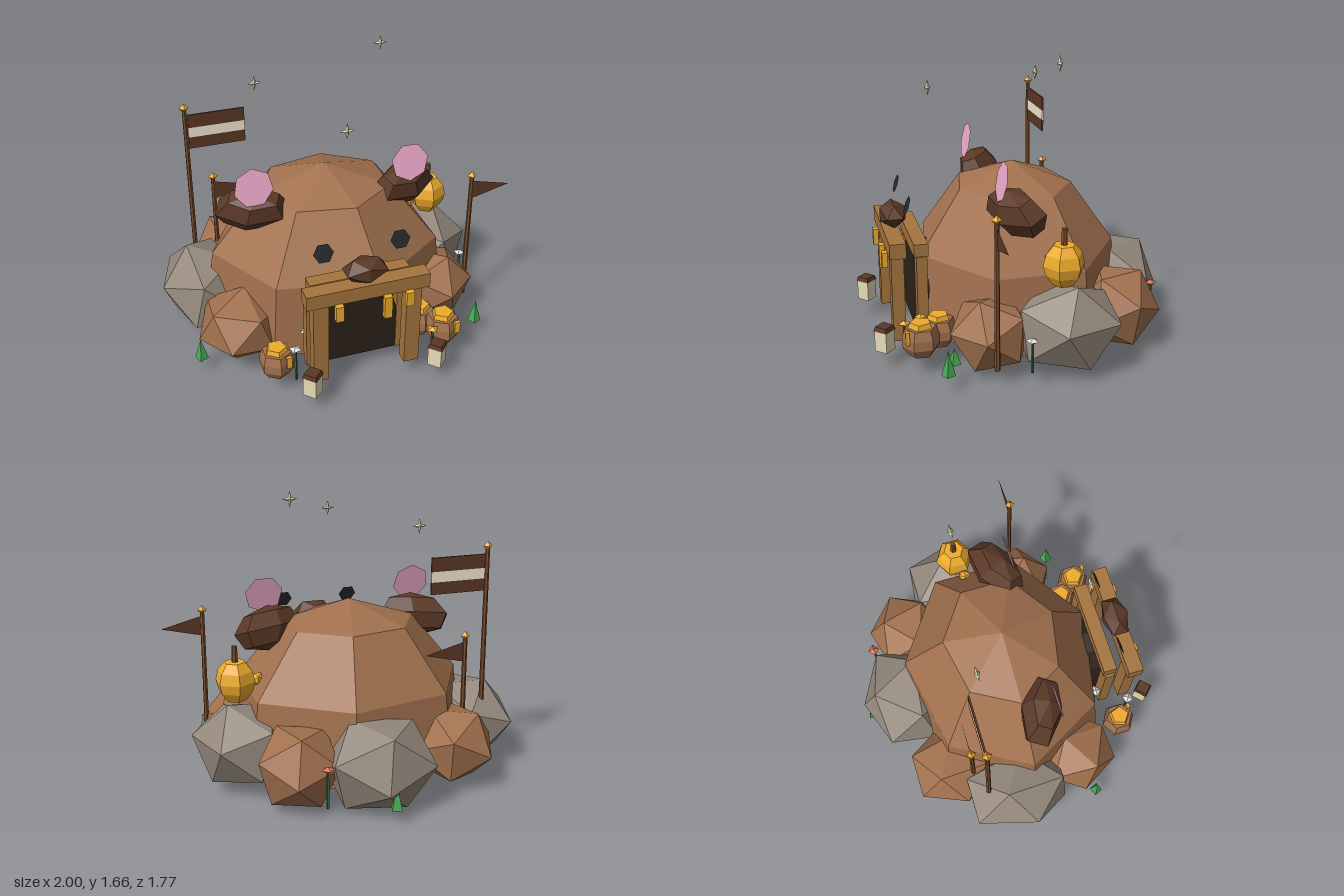
import * as THREE from 'three';

const mat = (color, side = THREE.FrontSide) =>
  new THREE.MeshStandardMaterial({ color, flatShading: true, side });

const M = {
  earth: mat(0xa2714e), grey: mat(0x94887c), wood: mat(0xa5753f), pole: mat(0x7a4c2c),
  fur: mat(0x5a3826), gold: mat(0xeeac2e), cream: mat(0xe6dcb6), stripe: mat(0xf4ead6),
  green: mat(0x48a855), stem: mat(0x2f6a3c), white: mat(0xe4e2dc), coral: mat(0xe0704c),
  dark: mat(0x2c2119), star: mat(0xd8d8b4), eye: mat(0x26282c, THREE.DoubleSide),
  pink: mat(0xeeaacb, THREE.DoubleSide), cloth: mat(0x5a3826, THREE.DoubleSide),
};
const CX = -0.035; // middle of the den

export function createModel() {
  const root = new THREE.Group();

  const add = (name, geo, material, x = 0, y = 0, z = 0, parent = root) => {
    const mesh = new THREE.Mesh(geo, material);
    mesh.name = name;
    mesh.position.set(x, y, z);
    parent.add(mesh);
    return mesh;
  };
  const box = (name, m, x0, x1, y0, y1, z0, z1) =>
    add(name, new THREE.BoxGeometry(x1 - x0, y1 - y0, z1 - z0), m, (x0 + x1) / 2, (y0 + y1) / 2, (z0 + z1) / 2);
  const group = (name, x, y, z) => {
    const g = new THREE.Group();
    g.name = name;
    g.position.set(x, y, z);
    root.add(g);
    return g;
  };
  const points = list => list.map(p => new THREE.Vector2(...p));
  // Faceted boulder, turned about y, x and z, then stretched to fill the given bounds
  const boulder = (name, m, [ry, rx, rz], [x0, x1], [y0, y1], [z0, z1], geo = new THREE.IcosahedronGeometry(1, 0)) => {
    geo.rotateY(ry).rotateX(rx).rotateZ(rz);
    geo.computeBoundingBox();
    const size = geo.boundingBox.getSize(new THREE.Vector3());
    geo.center();
    geo.scale((x1 - x0) / size.x, (y1 - y0) / size.y, (z1 - z0) / size.z);
    return add(name, geo, m, (x0 + x1) / 2, (y0 + y1) / 2, (z0 + z1) / 2);
  };

  // Den dome, open underneath, with steep lower walls
  const dome = new THREE.SphereGeometry(1, 7, 3, 0, Math.PI * 2, 0, Math.PI / 2);
  const p = dome.attributes.position;
  for (let i = 0; i < p.count; i++)
    if (p.getY(i) < 0.01) p.setXYZ(i, p.getX(i) * 0.93, 0.045, p.getZ(i) * 0.93);
  dome.scale(0.78, 0.95, 0.67);
  add('dome', dome, M.earth, CX, 0.05, 0);

  // Boulders round the base
  const Q = Math.PI / 2;
  boulder('boulderLeftSide', M.grey, [Q, 0.45, -0.3], [0.37, 0.91], [0.01, 0.5], [-0.4, 0.14]);
  boulder('boulderRightSide', M.grey, [Q, 0.35, 0.3], [-1, -0.5], [0.01, 0.48], [-0.4, 0.16]);
  boulder('boulderBack', M.grey, [-0.1, 0.3, 0.15], [-0.29, 0.29], [0, 0.48], [-0.885, -0.33]);
  boulder('boulderBackLeft', M.earth, [-0.3, 0.4, 0.2], [0.18, 0.65], [0.03, 0.44], [-0.73, -0.25]);
  boulder('boulderBackRight', M.earth, [Q, 0.2, 0.5], [-0.75, -0.25], [0.03, 0.43], [-0.68, -0.22]);
  boulder('boulderFrontLeft', M.earth, [0.2, 0.5, 0.3], [0.33, 0.78], [0.02, 0.43], [0.04, 0.5]);
  boulder('boulderFrontRight', M.earth, [Q + 0.2, 0.3, -0.3], [-0.87, -0.39], [0.02, 0.42], [0.06, 0.52]);
  // Rubble filling the underside
  boulder('rubbleMiddle', M.grey, [1.4, 0.8, 0.5], [-0.32, 0.26], [0.02, 0.4], [-0.45, 0.12]);
  boulder('rubbleFront', M.grey, [0.6, 2.7, 0.2], [-0.26, 0.19], [0.02, 0.3], [0, 0.42]);
  boulder('rubbleLeft', M.grey, [2.2, 1.3, 0.8], [0.05, 0.56], [0.03, 0.4], [-0.3, 0.42]);
  boulder('rubbleRight', M.grey, [0.3, 1.9, 1.1], [-0.63, -0.12], [0.03, 0.4], [-0.3, 0.42]);

  // Dark arched doorway
  const arch = new THREE.Shape();
  arch.moveTo(-0.225, 0.09);
  arch.lineTo(0.225, 0.09);
  for (let i = 0; i <= 6; i++) {
    const a = (i / 6) * Math.PI;
    arch.lineTo(0.225 * Math.cos(a), 0.35 + 0.22 * Math.sin(a));
  }
  add('doorway', new THREE.ExtrudeGeometry(arch, { depth: 0.12, bevelEnabled: false }), M.dark, CX, 0, 0.49);

  // Timber porch: inner and outer frames
  for (const s of [-1, 1]) {
    const x = CX + s * 0.262;
    box('outerPost', M.wood, x - 0.043, x + 0.043, 0.09, 0.59, 0.685, 0.755);
    box('innerPost', M.wood, x - 0.04, x + 0.035, 0.09, 0.57, 0.555, 0.615);
  }
  box('outerLintel', M.wood, -0.38, 0.31, 0.59, 0.675, 0.675, 0.765);
  box('innerLintel', M.wood, -0.32, 0.25, 0.565, 0.64, 0.545, 0.625);
  for (const [x, y] of [[-0.205, 0.5], [0.065, 0.46], [0.19, 0.51]])
    box('honeyDrip', M.gold, x - 0.022, x + 0.022, y, 0.595, 0.765, 0.795);

  // Bear face: nose, eyes, ears
  boulder('nose', M.fur, [0, 0, 0], [CX - 0.115, CX + 0.115], [0.67, 0.8], [0.625, 0.77]);
  for (const s of [-1, 1]) {
    const eye = add('eye', new THREE.CircleGeometry(0.056, 6), M.eye, CX + s * 0.213, 0.845, 0.645);
    eye.rotation.x = -0.33;
    const ex = CX + s * 0.455;
    const ear = boulder('ear', M.fur, [s * 0.5, 0.35, s * 0.2], [ex - 0.195, ex + 0.195], [0.725, 0.955], [-0.02, 0.21],
      new THREE.SphereGeometry(1, 6, 4));
    ear.rotation.set(0, s * 0.42, -s * 0.1);
    const inner = add('innerEar', new THREE.CircleGeometry(0.112, 7), M.pink, ex, 1.015, 0.175);
    inner.rotation.set(-0.2, 0, s * 0.2);
  }

  // Flag poles
  const flagPole = (name, x, z, top) => {
    const g = group(name, x, 0, z);
    add('pole', new THREE.CylinderGeometry(0.013, 0.015, top - 0.1, 6), M.pole, 0, (top + 0.1) / 2, 0, g);
    add('finial', new THREE.OctahedronGeometry(0.028), M.gold, 0, top, 0, g);
    return g;
  };
  const banner = flagPole('bannerPole', -0.755, -0.295, 1.315);
  [[1.06, 1.13, M.fur], [1.13, 1.19, M.stripe], [1.19, 1.27, M.fur]].forEach(([a, b, m]) =>
    add('bannerStripe', new THREE.BoxGeometry(0.325, b - a, 0.01), m, 0.177, (a + b) / 2, 0, banner));
  const pennant = new THREE.Shape(points([[0, -0.155], [0.24, -0.095], [0, -0.035]]));
  for (const [x, z, top] of [[0.76, 0.285, 0.925], [-0.61, -0.35, 0.82]])
    add('pennant', new THREE.ShapeGeometry(pennant), M.cloth, 0, top, 0, flagPole('pennantPole', x, z, top));

  // Hanging honey gourd on the left side
  const gourd = group('honeyGourd', 0.66, 0.615, -0.1);
  const gourdProfile = points([[0, -0.11], [0.06, -0.11], [0.1, -0.055], [0.115, 0], [0.1, 0.06], [0.06, 0.11], [0, 0.11]]);
  add('gourdBody', new THREE.LatheGeometry(gourdProfile, 6), M.gold, 0, 0, 0, gourd);
  add('gourdStem', new THREE.CylinderGeometry(0.015, 0.018, 0.1, 6), M.pole, 0, 0.15, 0, gourd);
  add('honeyDrop', new THREE.IcosahedronGeometry(0.04, 0), M.gold, 0.53, 0.6, -0.07);

  // Honey pots
  const potProfile = points([[0, 0], [0.065, 0], [0.097, 0.05], [0.097, 0.1], [0.08, 0.15], [0, 0.15]]);
  for (const [x, z, s] of [[-0.51, 0.62, 1], [0.37, 0.52, 1], [0.465, 0.635, 1.05]]) {
    const pot = group('honeyPot', x, 0.1, z);
    pot.scale.setScalar(s);
    add('potBody', new THREE.LatheGeometry(potProfile, 6), M.earth, 0, 0, 0, pot);
    add('potHoney', new THREE.CylinderGeometry(0.055, 0.066, 0.03, 5), M.gold, 0, 0.162, 0, pot);
    add('potDrip', new THREE.BoxGeometry(0.03, 0.07, 0.02), M.gold, 0.05, 0.115, 0.076, pot);
  }

  // Lamp blocks beside the porch
  for (const [x, z] of [[-0.37, 0.83], [0.355, 0.815]]) {
    const lamp = group('porchLamp', x, 0.09, z);
    add('lampBody', new THREE.CylinderGeometry(0.055, 0.055, 0.12, 4), M.cream, 0, 0.06, 0, lamp);
    add('lampCap', new THREE.CylinderGeometry(0.05, 0.06, 0.025, 4), M.fur, 0, 0.13, 0, lamp);
  }

  // Flowers
  for (const [x, z, h, m] of [[-0.315, 0.53, 0.26, M.white], [-0.425, 0.7, 0.3, M.white], [0.81, 0.11, 0.27, M.white],
    [-0.555, 0.37, 0.25, M.white], [0.33, -0.735, 0.31, M.coral], [0.305, 0.61, 0.24, M.gold], [0.37, 0.71, 0.24, M.gold]]) {
    const flower = group('flower', x, 0, z);
    add('stem', new THREE.CylinderGeometry(0.007, 0.009, h - 0.09, 5), M.stem, 0, (h + 0.09) / 2, 0, flower);
    const bloom = add('bloom', new THREE.OctahedronGeometry(0.036), m, 0, h, 0, flower);
    bloom.scale.y = 0.5;
    bloom.rotation.y = x * 5;
  }

  // Grass tufts
  for (const [x, z, h] of [[-0.875, 0.36, 0.13], [0.72, 0.535, 0.14], [0.6, 0.48, 0.09], [-0.01, -0.845, 0.14]]) {
    const tuft = add('grassTuft', new THREE.ConeGeometry(0.038, h, 4), M.green, x, 0.085 + h / 2, z);
    tuft.rotation.y = 0.5 + x;
  }

  // Four-pointed sparkles in the air
  for (const [x, y, z] of [[-0.365, 1.44, -0.23], [-0.065, 1.44, 0.475], [0.35, 1.615, -0.16]]) {
    const sparkle = group('sparkle', x, y, z);
    for (const [sx, sy] of [[0.042, 0.013], [0.013, 0.045]])
      add('sparkleRay', new THREE.OctahedronGeometry(1).scale(sx, sy, 0.016), M.star, 0, 0, 0, sparkle);
  }

  return root;
}
